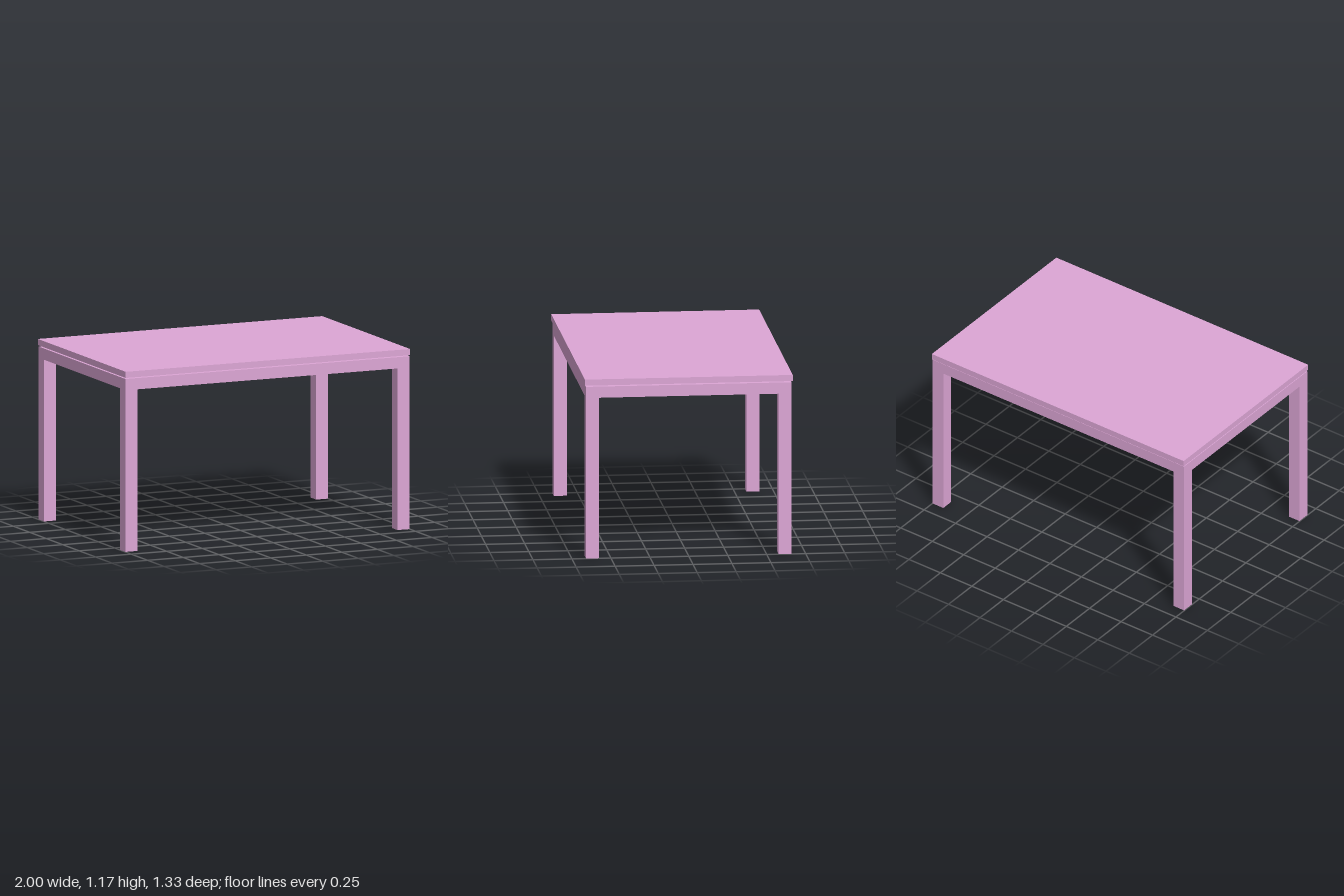
import * as THREE from 'three';

export function createModel() {
  const table = new THREE.Group();
  table.name = 'table';
  const material = new THREE.MeshStandardMaterial({ color: 0xdda6d6 });

  const halfX = 0.998, halfZ = 0.66;    // outer faces of the frame
  const leg = 0.084;                    // leg and apron thickness
  const frameTop = 1.12, apronBottom = 1.047;

  function box(name, w, h, d, x, y, z) {
    const mesh = new THREE.Mesh(new THREE.BoxGeometry(w, h, d), material);
    mesh.name = name;
    mesh.position.set(x, y, z);
    table.add(mesh);
  }

  // Top board, floating just above the frame
  box('tableTop', 2, 0.04, 1.334, 0, 1.148, 0);

  // Four square legs
  const legX = halfX - leg / 2, legZ = halfZ - leg / 2;
  for (const [side, sx] of [['Left', 1], ['Right', -1]]) {
    for (const [end, sz] of [['front', 1], ['back', -1]]) {
      box(`${end}${side}Leg`, leg, frameTop, leg, sx * legX, frameTop / 2, sz * legZ);
    }
  }

  // Aprons flush with the legs
  const apronH = frameTop - apronBottom, apronY = (frameTop + apronBottom) / 2;
  for (const [name, s] of [['front', 1], ['back', -1]]) {
    box(`${name}Apron`, 2 * (halfX - leg), apronH, leg, 0, apronY, s * legZ);
  }
  for (const [name, s] of [['left', 1], ['right', -1]]) {
    box(`${name}Apron`, leg, apronH, 2 * (halfZ - leg), s * legX, apronY, 0);
  }

  return table;
}
